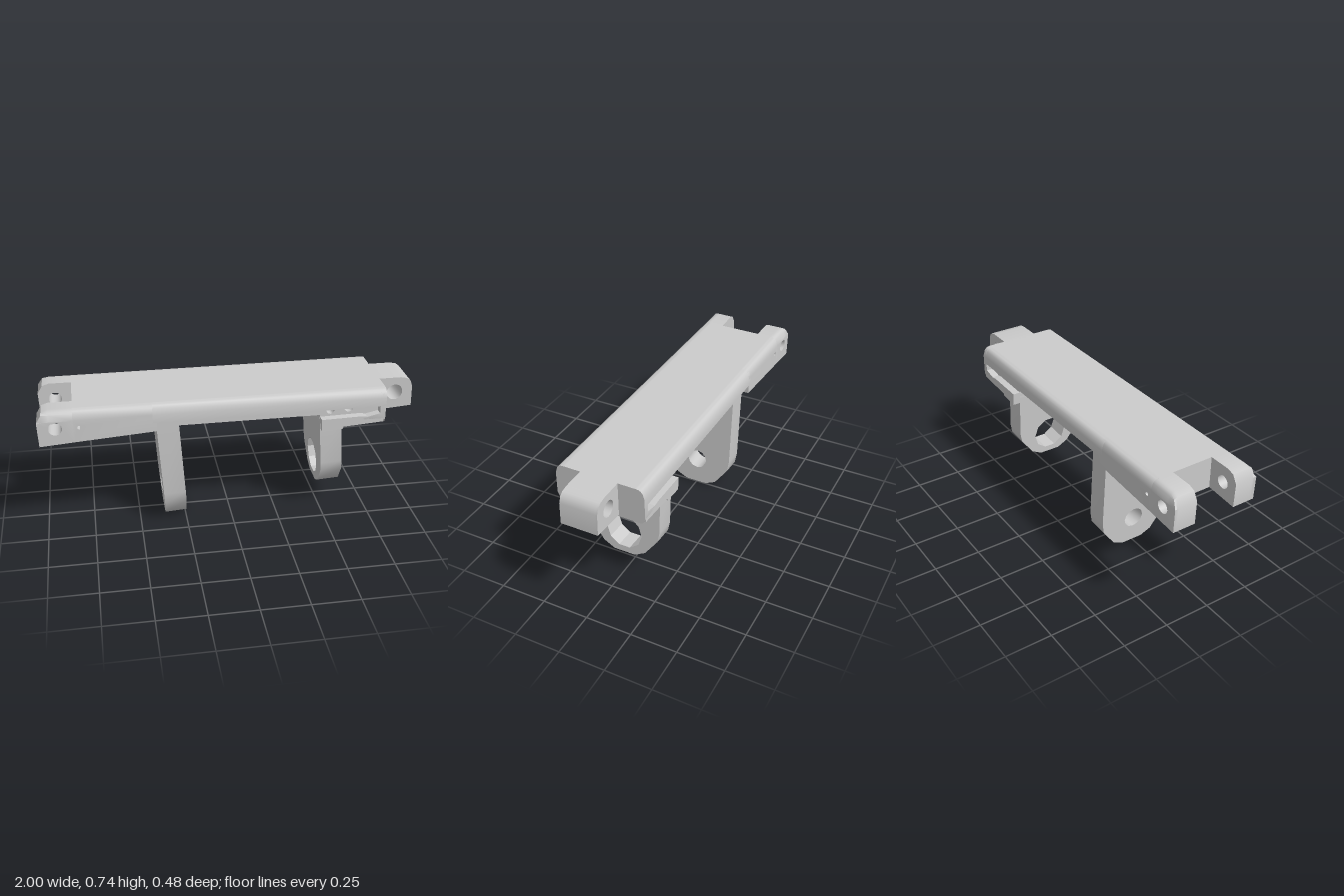
import * as THREE from 'three';
import { toCreasedNormals } from 'three/addons/utils/BufferGeometryUtils.js';

const material = new THREE.MeshStandardMaterial({ color: 0xcccccc });
const HALF = 0.24, EDGE = 0.04, TOP = 0.745;

function makeShape(points, holes = []) {
  const shape = new THREE.Shape(points.map(([a, b]) => new THREE.Vector2(a, b)));
  for (const [x, y, r, n = 20] of holes) {
    const ring = [];
    for (let i = 0; i < n; i++) {
      const t = (i / n) * Math.PI * 2;
      ring.push(new THREE.Vector2(x + r * Math.cos(t), y + r * Math.sin(t)));
    }
    shape.holes.push(new THREE.Path(ring));
  }
  return shape;
}

function makeMesh(name, geometry) {
  const mesh = new THREE.Mesh(toCreasedNormals(geometry, 0.6), material);
  mesh.name = name;
  return mesh;
}

// Side profile extruded across z; the long outer edges are rounded over,
// below as well when a lower limit is given.
function block(name, points, z0, z1, holes = [], low = null) {
  const steps = Math.max(1, Math.round((z1 - z0) / 0.01));
  const geometry = new THREE.ExtrudeGeometry(makeShape(points, holes), { depth: z1 - z0, steps, bevelEnabled: false });
  geometry.translate(0, 0, z0);
  const p = geometry.attributes.position;
  for (let i = 0; i < p.count; i++) {
    const t = Math.min(1, Math.max(0, Math.abs(p.getZ(i)) - HALF + EDGE) / EDGE);
    const drop = 0.05 * (1 - Math.sqrt(1 - t * t));
    let y = Math.min(p.getY(i), TOP - drop);
    if (low !== null) y = Math.max(y, low + drop * 0.7);
    p.setY(i, y);
  }
  geometry.computeVertexNormals();
  return makeMesh(name, geometry);
}

// Tilted hanging lug with a faceted round foot and a hole along x
function lug(name, x, y, height, thickness, foot, hole) {
  const outline = [[-0.2, height], ...foot.map(([z, h]) => [-z, h]),
    ...foot.slice().reverse(), [0.2, height]];
  const geometry = new THREE.ExtrudeGeometry(makeShape(outline, [hole]), { depth: thickness, bevelEnabled: false });
  geometry.rotateY(Math.PI / 2);
  const mesh = makeMesh(name, geometry);
  mesh.position.set(x, y, 0);
  mesh.rotation.z = 0.065;
  return mesh;
}

export function createModel() {
  const group = new THREE.Group();

  // Deck plate and the narrower step below it
  group.add(block('deck', [[-0.42, 0.65], [0.81, 0.65], [0.81, TOP], [-0.42, TOP]], -HALF, HALF));
  group.add(block('deckUnderside', [[-0.42, 0.605], [0.48, 0.605], [0.48, 0.655], [-0.42, 0.655]], -0.2, 0.2));

  // Deep wedge leading to the forked end
  group.add(block('forkWedge', [[-0.82, 0.573], [-0.4, 0.602], [-0.4, TOP], [-0.82, TOP]],
    -HALF, HALF, [[-0.79, 0.655, 0.01, 10]]));
  const prong = [[-0.995, 0.56], [-0.82, 0.573], [-0.82, TOP], [-0.94, TOP], [-0.975, 0.733], [-1, 0.69]];
  for (const [name, z0, z1] of [['leftForkProng', 0.115, HALF], ['rightForkProng', -HALF, -0.115]]) {
    group.add(block(name, prong, z0, z1, [[-0.91, 0.655, 0.035]]));
  }

  // Thick end: recessed core with cross holes, lower rail and end wall
  group.add(block('endCore', [[0.465, 0.56], [0.8, 0.56], [0.8, 0.66], [0.465, 0.66]], -0.2, 0.2,
    [[0.52, 0.63, 0.022], [0.62, 0.64, 0.026]]));
  group.add(block('endRail', [[0.47, 0.525], [0.58, 0.533], [0.585, 0.546], [0.8, 0.561], [0.8, 0.58], [0.68, 0.6],
    [0.465, 0.595]], -HALF, HALF));
  group.add(block('endWall', [[0.69, 0.545], [0.81, 0.55], [0.81, TOP], [0.78, TOP], [0.78, 0.61], [0.69, 0.59]],
    -HALF, HALF, [], 0.545));

  // Hinge tongue
  group.add(block('hingeTongue', [[0.78, 0.558], [1, 0.575], [0.997, 0.69], [0.985, 0.722], [0.965, 0.738],
    [0.93, TOP], [0.78, TOP]], -0.1, 0.1, [[0.9, 0.66, 0.044]]));

  // Two hanging lugs
  group.add(lug('longLug', -0.361, 0.005, 0.645, 0.117,
    [[0.2, 0.19], [0.19, 0.125], [0.12, 0.027], [0.06, 0]], [0, 0.153, 0.057, 12]));
  group.add(lug('shortLug', 0.494, 0.125, 0.46, 0.117,
    [[0.2, 0.185], [0.19, 0.13], [0.12, 0.033], [0.06, 0]], [0, 0.13, 0.1, 10]));
  return group;
}
